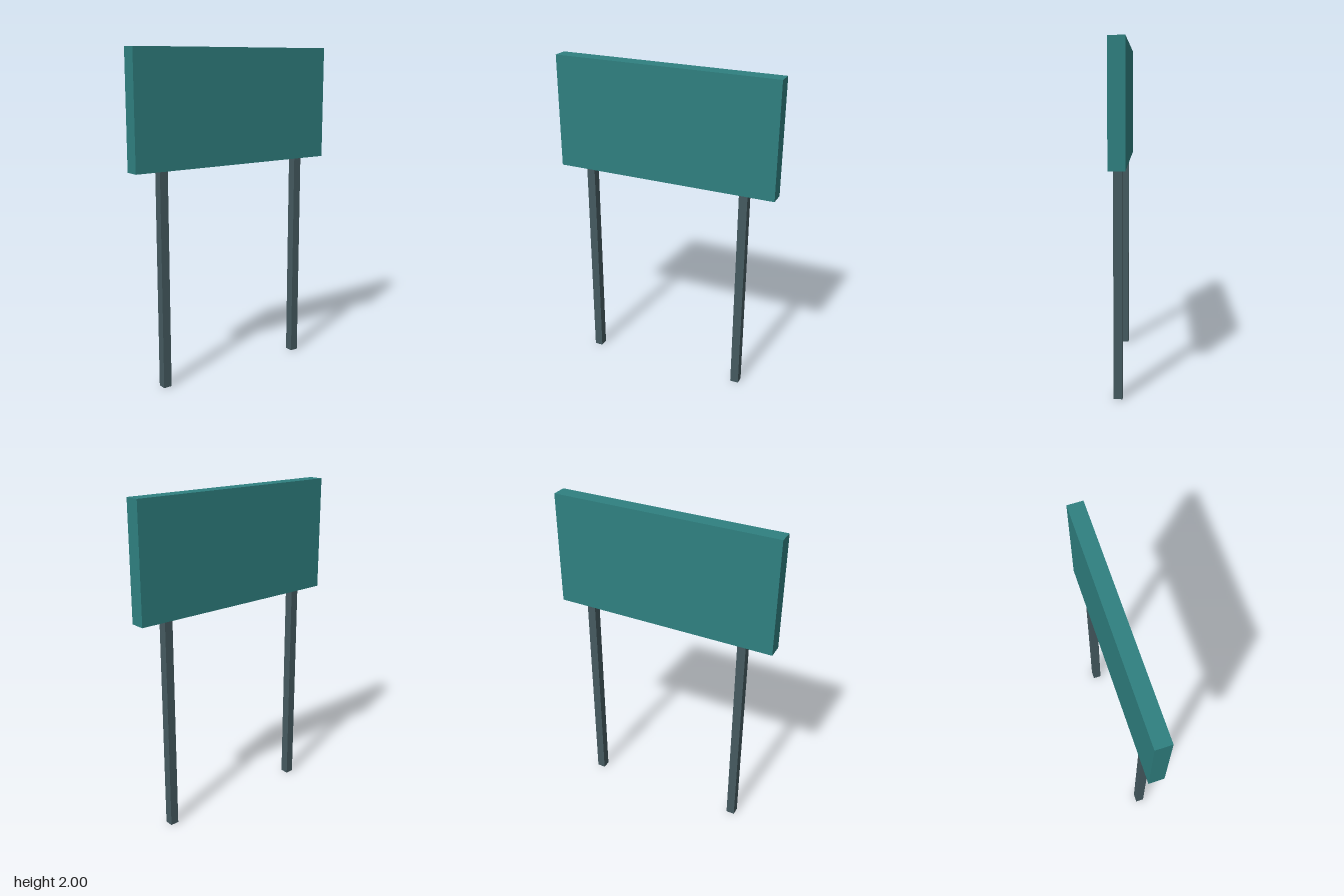
import * as THREE from 'three';

export function createModel() {
  const model = new THREE.Group();
  model.name = 'signboard';
  const teal = new THREE.MeshStandardMaterial({ color: 0x2f8080 });
  const slate = new THREE.MeshStandardMaterial({ color: 0x455a60 });

  const addBox = (name, material, width, bottom, top, depth, x) => {
    const mesh = new THREE.Mesh(new THREE.BoxGeometry(width, top - bottom, depth), material);
    mesh.name = name;
    mesh.position.set(x, (bottom + top) / 2, 0);
    model.add(mesh);
  };

  // Board
  addBox('panel', teal, 1.383, 1.31, 2, 0.093, 0);

  // Two square posts, ending at the underside of the board
  for (const [name, x] of [['leftPost', 0.5], ['rightPost', -0.5]]) {
    addBox(name, slate, 0.052, 0, 1.31, 0.052, x);
  }

  return model;
}
